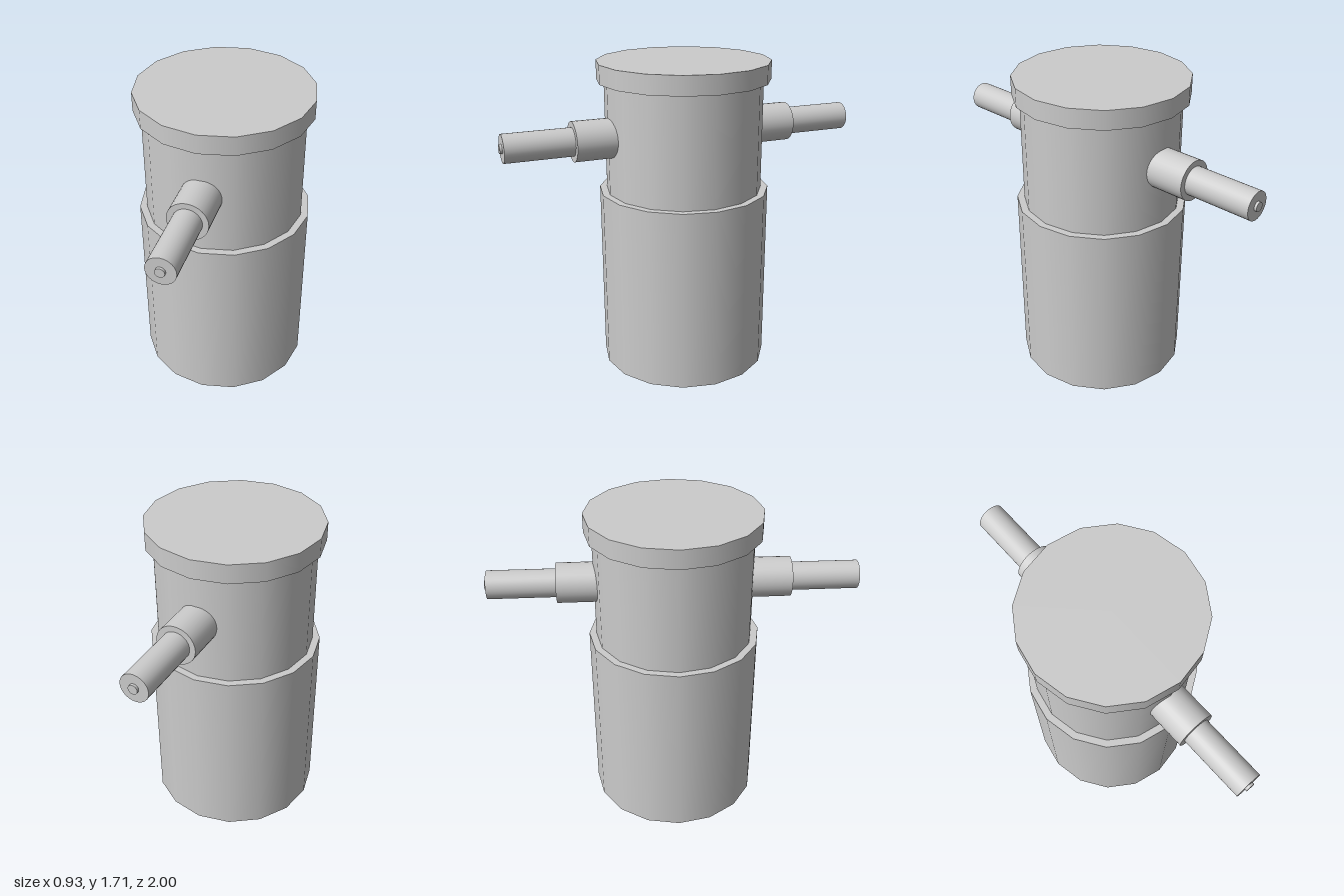
import * as THREE from 'three';

export function createModel() {
  const model = new THREE.Group();
  const material = new THREE.MeshStandardMaterial({ color: 0xcccccc });

  // Upright 16-sided drum between two heights
  function drum(name, radius, y0, y1) {
    const mesh = new THREE.Mesh(new THREE.CylinderGeometry(radius, radius, y1 - y0, 16), material);
    mesh.name = name;
    mesh.position.y = (y0 + y1) / 2;
    model.add(mesh);
  }
  drum('body', 0.467, 0, 1.01);
  drum('neck', 0.428, 1.01, 1.61);
  drum('lid', 0.467, 1.61, 1.712);

  // Stepped pipes, one at the front and one at the back
  function pipe(name, side) {
    const group = new THREE.Group();
    group.name = name;
    const steps = [
      ['collar', 0.107, 0.3, 0.622],
      ['tube', 0.076, 0.6, 0.987],
      ['tip', 0.025, 0.96, 1.0],
    ];
    for (const [part, radius, z0, z1] of steps) {
      const geometry = new THREE.CylinderGeometry(radius, radius, z1 - z0, 32);
      geometry.rotateX(Math.PI / 2);
      const mesh = new THREE.Mesh(geometry, material);
      mesh.name = part;
      mesh.position.z = side * (z0 + z1) / 2;
      group.add(mesh);
    }
    group.position.y = 1.325;
    model.add(group);
  }
  pipe('frontPipe', 1);
  pipe('backPipe', -1);

  return model;
}
